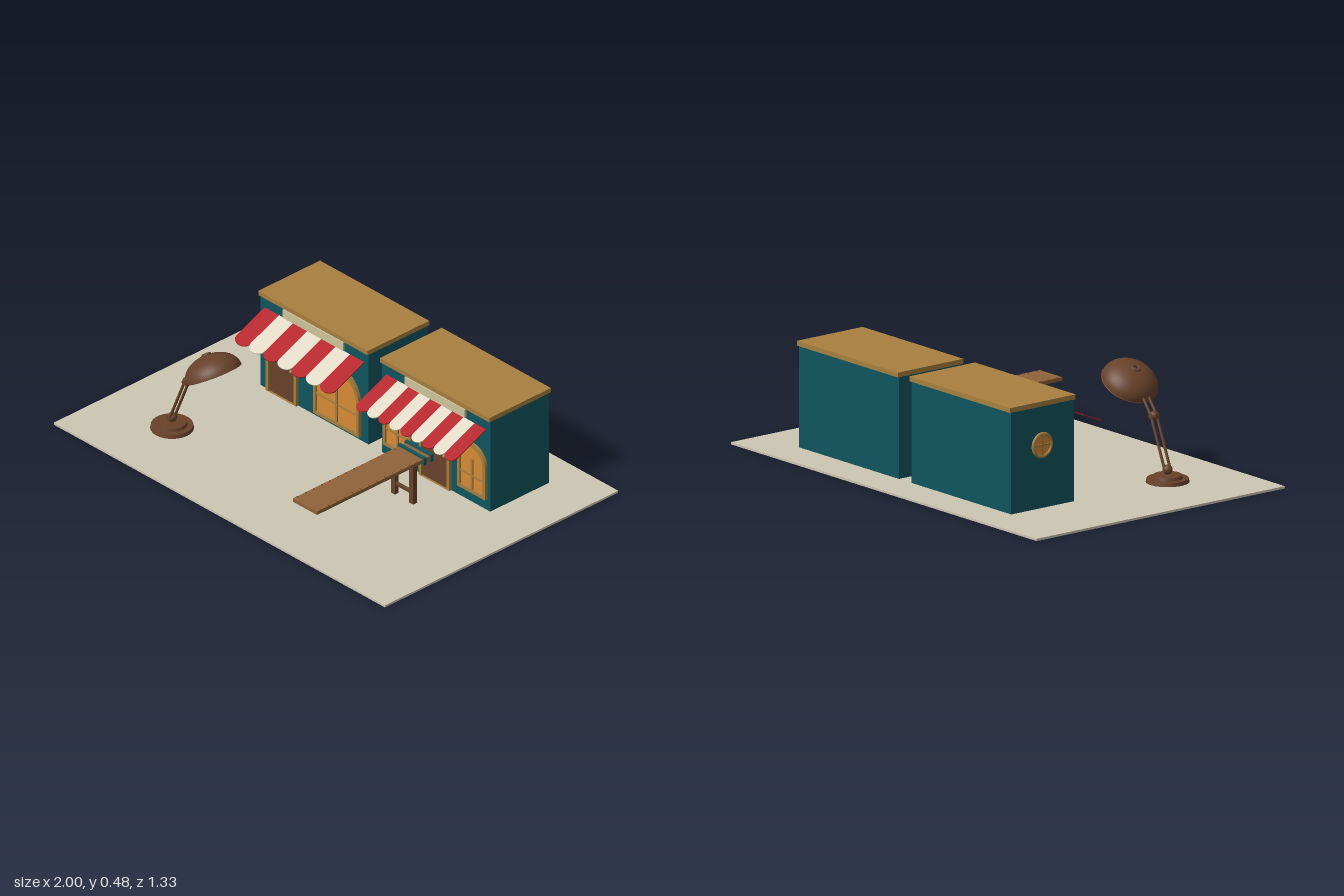
import * as THREE from 'three';

const mat = (name, color, extra = {}) => {
  const m = new THREE.MeshStandardMaterial({ color, ...extra });
  m.name = name;
  return m;
};

export function createModel() {
  const root = new THREE.Group();
  root.name = 'streetScene';
  const ground = mat('pale ground', 0xcdc6b4);
  const teal = mat('teal wall', 0x0f545e);
  const tan = mat('tan trim', 0xa87f3e);
  const wood = mat('plank wood', 0x8f6339);
  const brown = mat('dark brown', 0x68422a);
  const glass = mat('orange glass', 0xd68a34);
  const red = mat('awning red', 0xb32028, { side: THREE.DoubleSide });
  const cream = mat('awning cream', 0xe0d9c6, { side: THREE.DoubleSide });
  const sign = mat('sign cream', 0xcfc49c);
  const lining = mat('shade lining', 0xc9a468, { side: THREE.DoubleSide });

  const add = (parent, name, geo, material, x = 0, y = 0, z = 0) => {
    const m = new THREE.Mesh(geo, material);
    m.name = name;
    m.position.set(x, y, z);
    parent.add(m);
    return m;
  };
  // box given by its min and max corners
  const box = (parent, name, material, x0, x1, y0, y1, z0, z1) =>
    add(parent, name, new THREE.BoxGeometry(x1 - x0, y1 - y0, z1 - z0), material,
      (x0 + x1) / 2, (y0 + y1) / 2, (z0 + z1) / 2);
  const group = (name, parent = root) => {
    const g = new THREE.Group();
    g.name = name;
    parent.add(g);
    return g;
  };
  const rod = (parent, name, a, b, r, material) => {
    const p = new THREE.Vector3(...a), q = new THREE.Vector3(...b);
    const m = add(parent, name, new THREE.CylinderGeometry(r, r, p.distanceTo(q), 12), material);
    m.position.copy(p).add(q).multiplyScalar(0.5);
    m.quaternion.setFromUnitVectors(new THREE.Vector3(0, 1, 0), q.sub(p).normalize());
    return m;
  };
  // round-headed outline, inset by t on the sides and top
  const arch = (cls, w, h, t, bottom) => {
    const r = w / 2 - t, s = new cls();
    s.moveTo(-r, bottom);
    s.lineTo(r, bottom);
    s.lineTo(r, h - w / 2);
    s.absarc(0, h - w / 2, r, 0, Math.PI, false);
    s.lineTo(-r, bottom);
    return s;
  };
  const extrude = (shape, depth) =>
    new THREE.ExtrudeGeometry(shape, { depth, bevelEnabled: false, curveSegments: 16 });

  const WALL = -0.165;
  const opening = (parent, name, x0, x1, y0, y1, isDoor) => {
    const g = group(name, parent), w = x1 - x0, h = y1 - y0, t = 0.016;
    g.position.set((x0 + x1) / 2, y0, WALL);
    const sill = isDoor ? 0.002 : t;
    const frame = arch(THREE.Shape, w, h, 0, 0);
    frame.holes.push(arch(THREE.Path, w, h, t, sill));
    add(g, 'archFrame', extrude(frame, 0.015), tan);
    add(g, isDoor ? 'doorPanel' : 'windowPane', extrude(arch(THREE.Shape, w, h, t, sill), 0.007), isDoor ? brown : glass);
    if (isDoor) {
      add(g, 'doorKnob', new THREE.SphereGeometry(0.008, 12, 8), tan, w / 2 - 0.032, 0.155, 0.014);
    } else {
      const top = h * 0.68;
      box(g, 'uprightBar', tan, -0.006, 0.006, t, top, 0.006, 0.013);
      box(g, 'crossBar', tan, -w / 2 + t, w / 2 - t, h * 0.33, h * 0.33 + 0.007, 0.006, 0.012);
    }
  };

  // sloping striped awning with scalloped edge
  const awning = (parent, x0, x1, count) => {
    const g = group('awning', parent), w = (x1 - x0) / count;
    g.position.set(x0, 0.398, WALL);
    g.rotation.x = -Math.PI / 2 + Math.atan2(0.082, 0.19) + Math.PI;
    const len = 0.207, d = 0.03;
    for (let i = 0; i < count; i++) {
      const s = new THREE.Shape();
      s.moveTo(0, 0);
      s.lineTo(w, 0);
      s.lineTo(w, len - d);
      s.absellipse(w / 2, len - d, w / 2, d, 0, Math.PI, false);
      s.lineTo(0, 0);
      add(g, 'awningStripe', extrude(s, 0.005), i % 2 ? cream : red, i * w, 0, 0);
    }
  };

  const shop = (name, x0, stripes) => {
    const g = group(name), x1 = x0 + 0.66, c = (x0 + x1) / 2;
    box(g, 'walls', teal, x0 + 0.003, x1 - 0.003, 0.01, 0.45, -0.5, WALL);
    box(g, 'roof', tan, x0, x1, 0.447, 0.468, -0.508, -0.157);
    box(g, 'signBoard', sign, c - 0.182, c + 0.182, 0.403, 0.443, WALL, -0.156);
    awning(g, c - 0.3, c + 0.3, stripes);
    return g;
  };

  box(root, 'groundSlab', ground, -1, 1, 0, 0.01, -0.665, 0.665);

  const leftShop = shop('doorAndWindowShop', -0.635, 7);
  opening(leftShop, 'shopDoor', -0.585, -0.4, 0.012, 0.318, true);
  opening(leftShop, 'shopWindow', -0.298, -0.022, 0.028, 0.322, false);
  const port = group('roundSideWindow', leftShop);
  port.position.set(-0.632, 0.28, -0.335);
  port.rotation.y = -Math.PI / 2;
  add(port, 'roundPane', new THREE.CylinderGeometry(0.05, 0.05, 0.006, 32), glass).rotation.x = Math.PI / 2;
  add(port, 'roundFrame', new THREE.TorusGeometry(0.048, 0.008, 10, 32), tan);
  box(port, 'uprightBar', tan, -0.004, 0.004, -0.045, 0.045, 0, 0.006);
  box(port, 'crossBar', tan, -0.045, 0.045, -0.004, 0.004, 0, 0.006);

  const rightShop = shop('centreDoorShop', 0.1, 9);
  opening(rightShop, 'shopDoor', 0.338, 0.524, 0.012, 0.318, true);
  opening(rightShop, 'shopWindow', 0.122, 0.29, 0.062, 0.3, false);
  opening(rightShop, 'shopWindow', 0.572, 0.74, 0.062, 0.3, false);

  // plank on a trestle with two straps
  const bench = group('plankBench');
  box(bench, 'plank', wood, 0.357, 0.503, 0.194, 0.21, -0.078, 0.583);
  for (let i = 0; i < 13; i++) {
    for (const x of [0.357, 0.493]) {
      box(bench, 'edgeMark', brown, x, x + 0.01, 0.209, 0.2115, 0.558 - i * 0.046, 0.561 - i * 0.046);
    }
  }
  for (const z of [-0.028, -0.068]) box(bench, 'strap', teal, 0.35, 0.51, 0.184, 0.218, z - 0.007, z + 0.007);
  for (const x of [0.363, 0.473]) box(bench, 'trestleLeg', brown, x, x + 0.024, 0.01, 0.194, 0.008, 0.03);
  box(bench, 'topRail', brown, 0.36, 0.5, 0.178, 0.194, 0.006, 0.032);
  box(bench, 'lowRail', brown, 0.38, 0.48, 0.053, 0.067, 0.013, 0.025);

  // desk lamp
  const lamp = group('lamp');
  lamp.position.z = 0.335;
  const bx = -0.635;
  add(lamp, 'baseDisc', new THREE.CylinderGeometry(0.088, 0.091, 0.016, 40), brown, bx, 0.018, 0);
  add(lamp, 'baseStep', new THREE.CylinderGeometry(0.06, 0.064, 0.014, 40), brown, bx, 0.033, 0);
  add(lamp, 'baseJoint', new THREE.SphereGeometry(0.021, 20, 14), brown, bx, 0.062, 0);
  for (const z of [-0.015, 0.015]) {
    rod(lamp, 'lowerArm', [bx, 0.06, z], [-0.545, 0.275, z], 0.006, brown);
    rod(lamp, 'upperArm', [-0.545, 0.275, z], [-0.46, 0.385, z], 0.006, brown);
  }
  rod(lamp, 'elbowPin', [-0.545, 0.275, -0.02], [-0.545, 0.275, 0.02], 0.012, brown);
  add(lamp, 'elbowJoint', new THREE.SphereGeometry(0.02, 20, 14), brown, -0.545, 0.275, 0);

  const head = group('lampHead', lamp);
  head.position.set(-0.385, 0.382, 0);
  head.rotation.z = 0.54;
  const dome = (r, h) => {
    const pts = [];
    for (let i = 0; i <= 16; i++) {
      const a = (i / 16) * 1.46;
      pts.push(new THREE.Vector2(r * Math.cos(a), h * Math.sin(a)));
    }
    return new THREE.LatheGeometry(pts, 40);
  };
  add(head, 'shade', dome(0.123, 0.085), brown);
  add(head, 'shadeLining', dome(0.12, 0.081), lining);
  add(head, 'shadeRim', new THREE.TorusGeometry(0.1215, 0.003, 8, 40), brown).rotation.x = Math.PI / 2;
  add(head, 'ventRing', new THREE.TorusGeometry(0.016, 0.006, 10, 24), brown, 0, 0.085, 0).rotation.x = Math.PI / 2;
  add(head, 'bulbSocket', new THREE.CylinderGeometry(0.016, 0.016, 0.03, 16), brown, 0, 0.06, 0);
  add(head, 'bulb', new THREE.SphereGeometry(0.028, 20, 14), tan, 0, 0.03, 0);
  return root;
}
